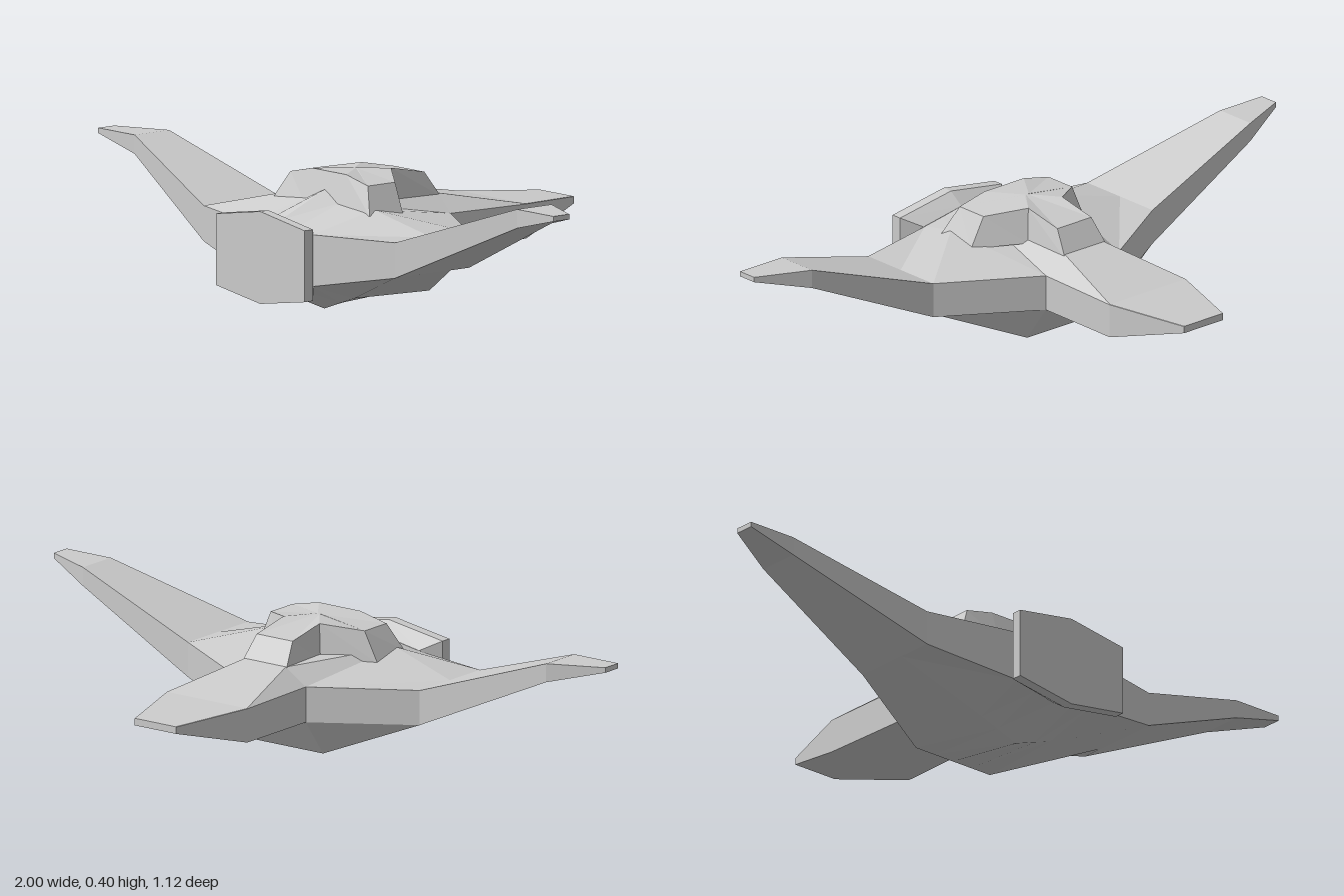
import * as THREE from 'three';

const material = new THREE.MeshStandardMaterial({ color: 0xcccccc, flatShading: true });

// Skins a row of equal-length closed rings and caps both ends.
function loft(name, rings) {
  const pos = [];
  const tri = (a, b, c) => pos.push(...a, ...b, ...c);
  const n = rings[0].length;
  for (let i = 0; i < rings.length - 1; i++) {
    for (let j = 0; j < n; j++) {
      const k = (j + 1) % n;
      const [a, b, c, d] = [rings[i][j], rings[i][k], rings[i + 1][k], rings[i + 1][j]];
      tri(a, d, c);
      tri(a, c, b);
    }
  }
  const cap = (ring, flip) => {
    const mid = [0, 1, 2].map((q) => ring.reduce((s, p) => s + p[q], 0) / n);
    ring.forEach((p, j) => {
      const q = ring[(j + 1) % n];
      if (flip) tri(mid, q, p);
      else tri(mid, p, q);
    });
  };
  cap(rings[0], false);
  cap(rings[rings.length - 1], true);
  const geometry = new THREE.BufferGeometry();
  geometry.setAttribute('position', new THREE.Float32BufferAttribute(pos, 3));
  geometry.computeVertexNormals();
  const mesh = new THREE.Mesh(geometry, material);
  mesh.name = name;
  return mesh;
}

// Wing section: top front to rear, then bottom rear to front.
function wingRing(x, top, bottom, front, rear) {
  const at = (t) => front + (rear - front) * t;
  return [
    [x, top, front], [x, top, at(0.5)], [x, top, rear],
    [x, bottom, rear], [x, bottom, at(0.75)], [x, bottom, at(0.4)], [x, bottom, front],
  ];
}

// Hull and swept-up wings, from the centreline out to the tip, mirrored.
function hull() {
  const half = [
    [[0, 0.275, 0.48], [0, 0.345, 0.315], [0, 0.305, -0.05], [0, 0.15, -0.04],
      [0, 0.04, 0.04], [0, 0, 0.315], [0, 0.07, 0.48]],
    [[0.07, 0.262, 0.48], [0.07, 0.315, 0.315], [0.075, 0.305, -0.05], [0.07, 0.15, -0.04],
      [0.07, 0.04, 0.04], [0.07, 0.025, 0.315], [0.07, 0.085, 0.48]],
    [[0.14, 0.25, 0.48], [0.2, 0.31, 0.3], [0.14, 0.255, -0.04], [0.14, 0.15, -0.04],
      [0.14, 0.04, 0.04], [0.13, 0.046, 0.315], [0.14, 0.1, 0.48]],
    wingRing(0.42, 0.255, 0.152, 0.41, 0.13),
    wingRing(0.84, 0.395, 0.34, 0.31, 0.18),
    wingRing(1, 0.395, 0.38, 0.31, 0.25),
  ];
  const mirrored = half.slice(1).reverse().map((r) => r.map(([x, y, z]) => [-x, y, z]));
  return loft('hullAndWings', [...mirrored, ...half]);
}

// Tail boom: narrow raised spine that flattens into a tapered blade.
function tail() {
  const ring = (z, w, bottom, edge, spineW, spine, spineZ = z) => [
    [-w, bottom, z], [w, bottom, z], [w, edge, z],
    [spineW, spine, spineZ], [-spineW, spine, spineZ], [-w, edge, z],
  ];
  return loft('tail', [
    ring(-0.04, 0.14, 0.15, 0.255, 0.075, 0.305, -0.05),
    ring(-0.32, 0.146, 0.152, 0.252, 0.145, 0.253),
    ring(-0.56, 0.075, 0.218, 0.238, 0.074, 0.239),
  ]);
}

// Nose plate with a pointed top and bottom, narrowing back into the hull.
function nosePlate() {
  const ring = (z, w, low, lowEdge, highEdge, high) => [
    [-w, lowEdge, z], [0, low, z], [w, lowEdge, z],
    [w, highEdge, z], [0, high, z], [-w, highEdge, z],
  ];
  return loft('nosePlate', [
    ring(0.557, 0.195, 0.04, 0.07, 0.277, 0.308),
    ring(0.525, 0.195, 0.04, 0.07, 0.277, 0.308),
    ring(0.48, 0.145, 0.07, 0.1, 0.25, 0.275),
  ]);
}

// Cockpit: wide front with a narrow spine running back.
function cockpit() {
  const mirror = (pts) => [...pts, ...pts.slice().reverse().map(([x, y, z]) => [-x, y, z])];
  const base = mirror([
    [0.08, 0.295, -0.055], [0.08, 0.295, 0.105], [0.213, 0.285, 0.2],
    [0.213, 0.295, 0.327], [0.075, 0.3, 0.327],
  ]);
  const top = mirror([
    [0.065, 0.37, -0.005], [0.065, 0.395, 0.12], [0.17, 0.375, 0.195],
    [0.17, 0.375, 0.297], [0.075, 0.396, 0.297],
  ]);
  const crown = top.map(([x]) => [x * 0.05, 0.396, 0.2]);
  return loft('cockpit', [base, top, crown]);
}

export function createModel() {
  const group = new THREE.Group();
  group.name = 'glider';
  group.add(hull(), tail(), nosePlate(), cockpit());
  return group;
}
